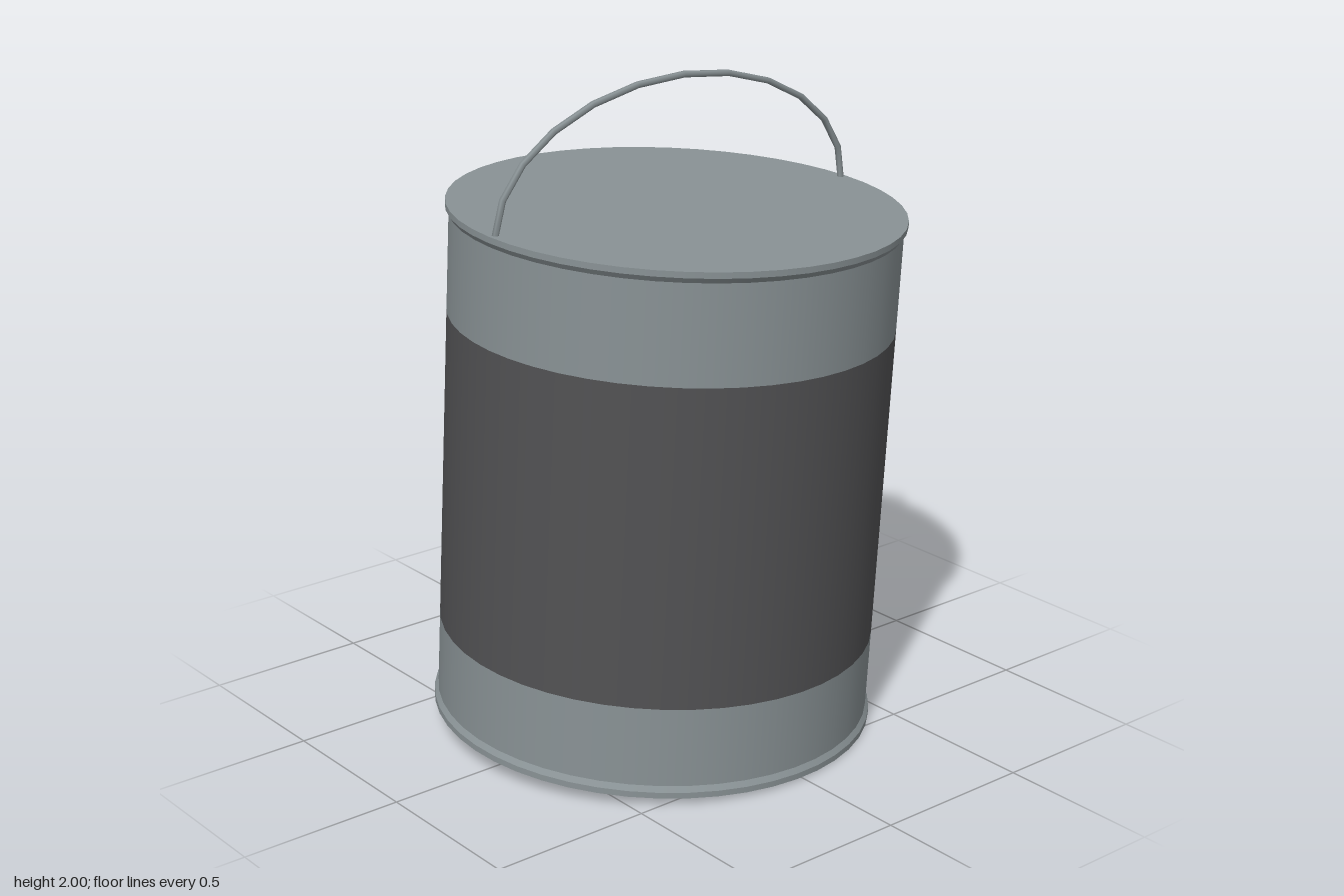
import * as THREE from 'three';

const SEGMENTS = 48;
const HEIGHT = 1.572;
const BODY = 0.66;
const RIM = 0.671;

// Half-ellipse arch sampled at equal angles
class HandleCurve extends THREE.Curve {
  getPoint(t, target = new THREE.Vector3()) {
    const a = Math.PI * (1 - t);
    return target.set(0.65 * Math.cos(a), HEIGHT - 0.005 + 0.389 * Math.sin(a), 0);
  }
  getUtoTmapping(u) {
    return u;
  }
}

export function createModel() {
  const metal = new THREE.MeshStandardMaterial({ color: 0x899295 });
  metal.name = 'tin grey';
  const paper = new THREE.MeshStandardMaterial({ color: 0x525254 });
  paper.name = 'label dark grey';

  const model = new THREE.Group();
  model.name = 'tiltedCan';
  const can = new THREE.Group();
  can.name = 'can';
  model.add(can);

  const add = (name, geometry, material) => {
    const mesh = new THREE.Mesh(geometry, material);
    mesh.name = name;
    can.add(mesh);
    return mesh;
  };

  // Open ring of wall between two heights
  const wall = (name, y0, y1, r0, r1, material) => {
    const ring = new THREE.CylinderGeometry(r1, r0, y1 - y0, SEGMENTS, 1, true);
    add(name, ring.translate(0, (y0 + y1) / 2, 0), material);
  };

  // Walls from bottom to top: rim, flare, bare metal, label, bare metal, flare, rim
  wall('bottomRim', 0, 0.018, RIM, RIM, metal);
  wall('bottomFlare', 0.018, 0.034, RIM, BODY, metal);
  wall('lowerBand', 0.034, 0.276, BODY, BODY, metal);
  wall('label', 0.276, 1.241, BODY, BODY, paper);
  wall('upperBand', 1.241, HEIGHT - 0.034, BODY, BODY, metal);
  wall('topFlare', HEIGHT - 0.034, HEIGHT - 0.018, BODY, RIM, metal);
  wall('topRim', HEIGHT - 0.018, HEIGHT, RIM, RIM, metal);

  // Flat ends
  const disc = () => new THREE.CircleGeometry(RIM, SEGMENTS);
  add('lid', disc().rotateX(-Math.PI / 2).translate(0, HEIGHT, 0), metal);
  add('base', disc().rotateX(Math.PI / 2), metal);

  // Wire handle
  add('handle', new THREE.TubeGeometry(new HandleCurve(), 12, 0.01, 6, false), metal);

  // Lean the whole can to its left and front
  const axis = new THREE.Vector3(0.05, HEIGHT, 0.06).normalize();
  can.quaternion.setFromUnitVectors(new THREE.Vector3(0, 1, 0), axis);
  can.position.set(-0.028, 0.034, -0.033);
  return model;
}
